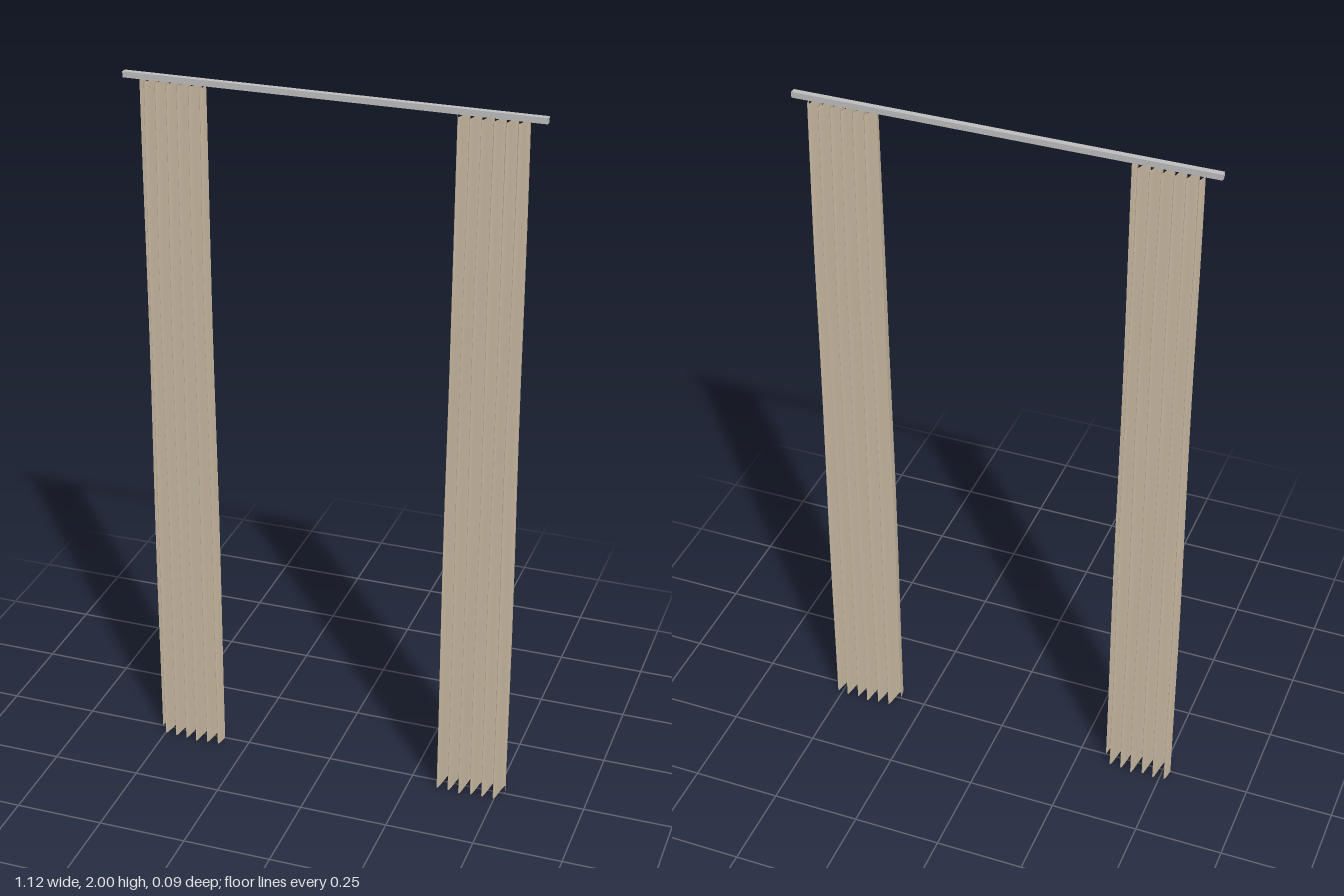
import * as THREE from 'three';

const TOP = 1.984;
const FOLDS = 6;
// Depth of each half fold, from the outer edge inwards
const DEPTHS = [0.036, 0.034, 0.041, 0.036, 0.038, 0.037, 0.045, 0.043, 0.038, 0.038, 0.036, 0.036];

// Pleated sheet: a wave across x that is gathered shallower near the rod
function curtainGeometry(side) {
  const geo = new THREE.PlaneGeometry(1, 1, FOLDS * 16, 24);
  const pos = geo.attributes.position;
  for (let i = 0; i < pos.count; i++) {
    const u = pos.getX(i) + 0.5; // 0 outer edge, 1 inner edge
    const v = pos.getY(i) + 0.5; // 0 hem, 1 rod
    const half = Math.min(DEPTHS.length - 1, Math.floor(u * FOLDS * 2));
    const gather = 1 - 0.33 * Math.pow(THREE.MathUtils.smoothstep(v, 0.72, 1.06), 0.8);
    const z = -Math.sin(u * FOLDS * Math.PI * 2) * DEPTHS[half] * gather;
    const outer = THREE.MathUtils.lerp(0.522, 0.516, v);
    const inner = THREE.MathUtils.lerp(0.325, 0.332, v);
    const sway = 0.002 * Math.sin(v * 7 + u * 9) * Math.sin(v * Math.PI);
    pos.setXYZ(i, side * (THREE.MathUtils.lerp(outer, inner, u) + sway), v * TOP, z);
  }
  // Keep the winding facing forward on the unmirrored and mirrored panels
  if (side > 0) {
    const idx = geo.index;
    for (let i = 0; i < idx.count; i += 3) {
      const a = idx.getX(i);
      idx.setX(i, idx.getX(i + 1));
      idx.setX(i + 1, a);
    }
  }
  geo.computeVertexNormals();
  return geo;
}

export function createModel() {
  const group = new THREE.Group();
  group.name = 'curtains';

  const fabric = new THREE.MeshStandardMaterial({ color: 0xc6b7a0, side: THREE.DoubleSide });
  fabric.name = 'beige fabric';
  const metal = new THREE.MeshStandardMaterial({ color: 0xbcbcbc });
  metal.name = 'grey metal';

  // Square rail across the top
  const rail = new THREE.Mesh(new THREE.BoxGeometry(1.12, 0.016, 0.016), metal);
  rail.name = 'rail';
  rail.position.set(0, 1.992, -0.001);
  group.add(rail);

  // Two mirrored curtains
  for (const side of [-1, 1]) {
    const curtain = new THREE.Mesh(curtainGeometry(side), fabric);
    curtain.name = side > 0 ? 'leftCurtain' : 'rightCurtain';
    group.add(curtain);
  }
  return group;
}
